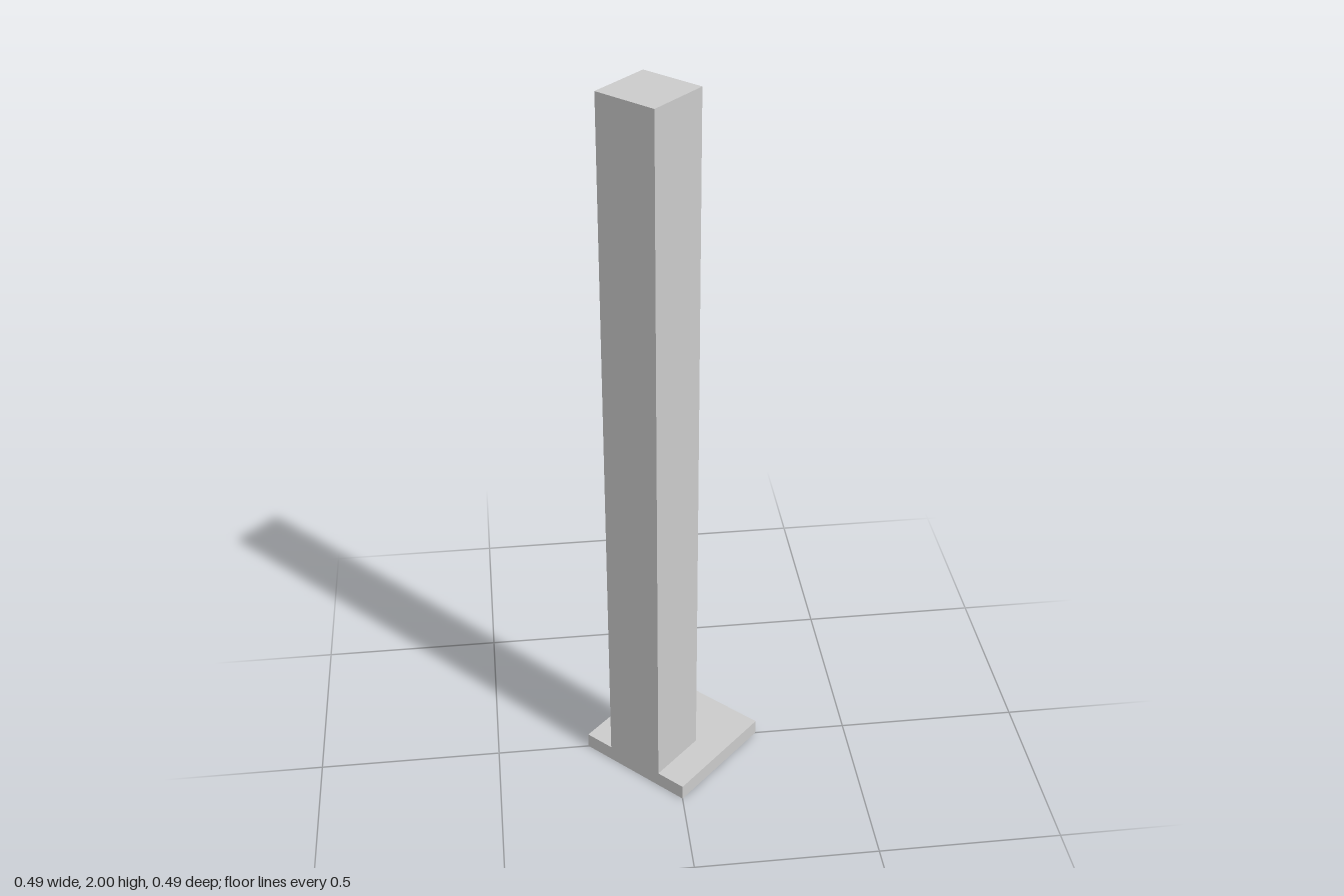
import * as THREE from 'three';

const BASE = 0.343, BASE_H = 0.044, POST = BASE / 2, HEIGHT = 2;

export function createModel() {
  const model = new THREE.Group();
  model.name = 'post';
  const material = new THREE.MeshStandardMaterial({ color: 0xcccccc, flatShading: true });

  const addBox = (name, width, bottom, top, z) => {
    const mesh = new THREE.Mesh(new THREE.BoxGeometry(width, top - bottom, width), material);
    mesh.name = name;
    mesh.position.set(0, (bottom + top) / 2, z);
    return mesh;
  };

  // Both parts stand turned by 45 degrees
  const turned = new THREE.Group();
  turned.name = 'turnedPost';
  turned.rotation.y = -Math.PI / 4;

  // Square foot plate, and a column flush with the middle of one edge
  turned.add(
    addBox('basePlate', BASE, 0, BASE_H, 0),
    addBox('column', POST, BASE_H, HEIGHT, (BASE - POST) / 2),
  );
  model.add(turned);
  return model;
}
